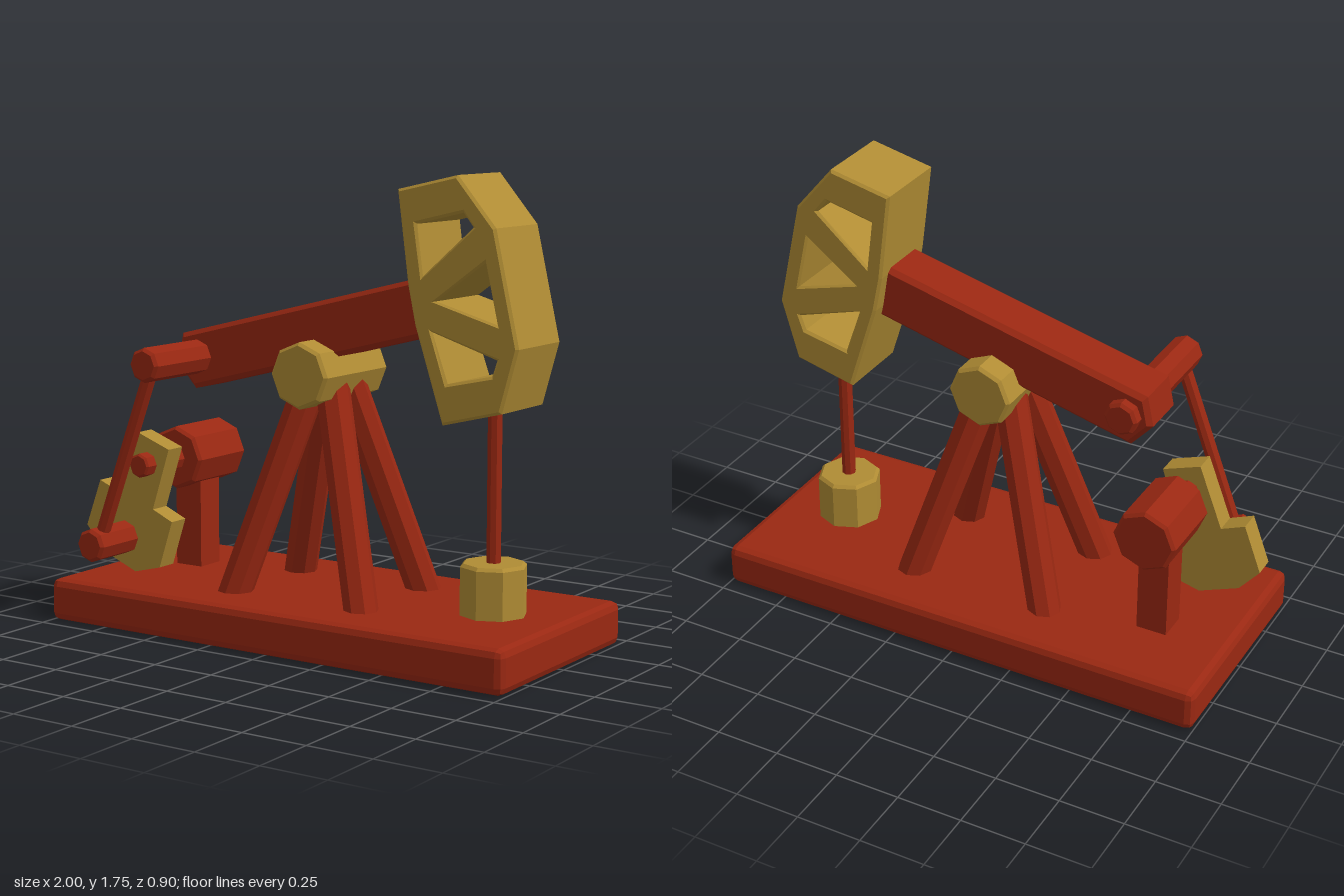
import * as THREE from 'three';
import { RoundedBoxGeometry } from 'three/addons/geometries/RoundedBoxGeometry.js';

const red = new THREE.MeshStandardMaterial({ color: 0x9a2812, flatShading: true });
const gold = new THREE.MeshStandardMaterial({ color: 0xb08c34, flatShading: true });
const V = (x, y, z) => new THREE.Vector3(x, y, z);

export function createModel() {
  const model = new THREE.Group();

  function add(name, geometry, material) {
    const mesh = new THREE.Mesh(geometry, material);
    mesh.name = name;
    model.add(mesh);
    return mesh;
  }

  // Faceted bar with chamfered ends, running from point a to point b
  function bar(name, a, b, r, material, chamfer = 0.012, sides = 8) {
    const len = a.distanceTo(b);
    const profile = [[0, 0], [r - chamfer, 0], [r, chamfer], [r, len - chamfer], [r - chamfer, len], [0, len]]
      .map(([x, y]) => new THREE.Vector2(x, y));
    const mesh = add(name, new THREE.LatheGeometry(profile, sides), material);
    mesh.position.copy(a);
    mesh.quaternion.setFromUnitVectors(V(0, 1, 0), b.clone().sub(a).normalize());
    return mesh;
  }

  // Plate cut from an outline, with optional windows and bevelled rims
  function plate(name, outline, z0, z1, material, bevel = 0, windows = []) {
    const points = (list) => list.map(([x, y]) => new THREE.Vector2(x, y));
    const shape = new THREE.Shape(points(outline));
    windows.forEach((w) => shape.holes.push(new THREE.Path(points(w))));
    const geometry = new THREE.ExtrudeGeometry(shape, {
      depth: z1 - z0 - 2 * bevel,
      bevelEnabled: bevel > 0,
      bevelSize: bevel,
      bevelThickness: bevel,
      bevelOffset: -bevel,
      bevelSegments: 1,
    });
    return add(name, geometry.translate(0, 0, z0 + bevel), material);
  }

  // Base slab
  add('base', new RoundedBoxGeometry(2, 0.165, 0.9, 1, 0.03), red).position.y = 0.0825;

  // Four splayed legs meeting under the pivot
  for (const sx of [-1, 1]) {
    for (const sz of [-1, 1]) {
      bar('leg', V(0.295 * sx, 0.12, 0.225 * sz), V(0.035 * sx, 1.0, 0.045 * sz), 0.065, red);
    }
  }
  bar('pivotHub', V(0, 1, -0.21), V(0, 1, 0.21), 0.125, gold);

  // Walking beam
  plate('beam', [[-0.62, 1.11], [-0.645, 0.995], [-0.56, 0.9], [0.48, 1.165], [0.45, 1.375]],
    -0.105, 0.105, red, 0.018);

  // Head with three windows
  plate('beamHead',
    [[0.39, 1.69], [0.435, 1.35], [0.465, 1.21], [0.58, 0.86], [0.82, 0.92], [0.885, 1.15], [0.79, 1.565], [0.636, 1.745]],
    -0.157, 0.157, gold, 0.01,
    [
      [[0.47, 1.57], [0.66, 1.615], [0.7, 1.565], [0.495, 1.385]],
      [[0.75, 1.445], [0.8, 1.23], [0.55, 1.3]],
      [[0.535, 1.19], [0.8, 1.107], [0.78, 1.05], [0.6, 1.01]],
    ]);

  // Well and its rod
  bar('pumpRod', V(0.71, 0.3, 0), V(0.71, 0.92, 0), 0.027, red, 0.002);
  bar('wellHead', V(0.71, 0.14, 0), V(0.71, 0.355, 0), 0.125, gold);

  // Motor on its post, with the drive shaft
  const post = add('motorPost', new THREE.BoxGeometry(0.12, 0.48, 0.12), red);
  post.position.set(-0.7, 0.36, -0.1);
  bar('motor', V(-0.695, 0.61, -0.25), V(-0.695, 0.61, 0.05), 0.124, red);
  bar('driveShaft', V(-0.695, 0.61, 0), V(-0.695, 0.61, 0.28), 0.047, red, 0.008);

  // Crank with counterweight
  plate('crank',
    [[-0.74, 0.73], [-0.835, 0.485], [-0.93, 0.525], [-1, 0.34], [-0.92, 0.245],
      [-0.76, 0.18], [-0.64, 0.21], [-0.578, 0.395], [-0.67, 0.435], [-0.59, 0.675]],
    0.14, 0.225, gold);

  // Pins and the rod linking crank to beam
  bar('crankPin', V(-0.81, 0.312, 0.18), V(-0.81, 0.312, 0.44), 0.065, red);
  bar('beamPin', V(-0.54, 1.025, -0.15), V(-0.54, 1.025, 0.44), 0.066, red);
  bar('connectingRod', V(-0.81, 0.312, 0.377), V(-0.54, 1.025, 0.377), 0.027, red, 0.002);

  return model;
}
